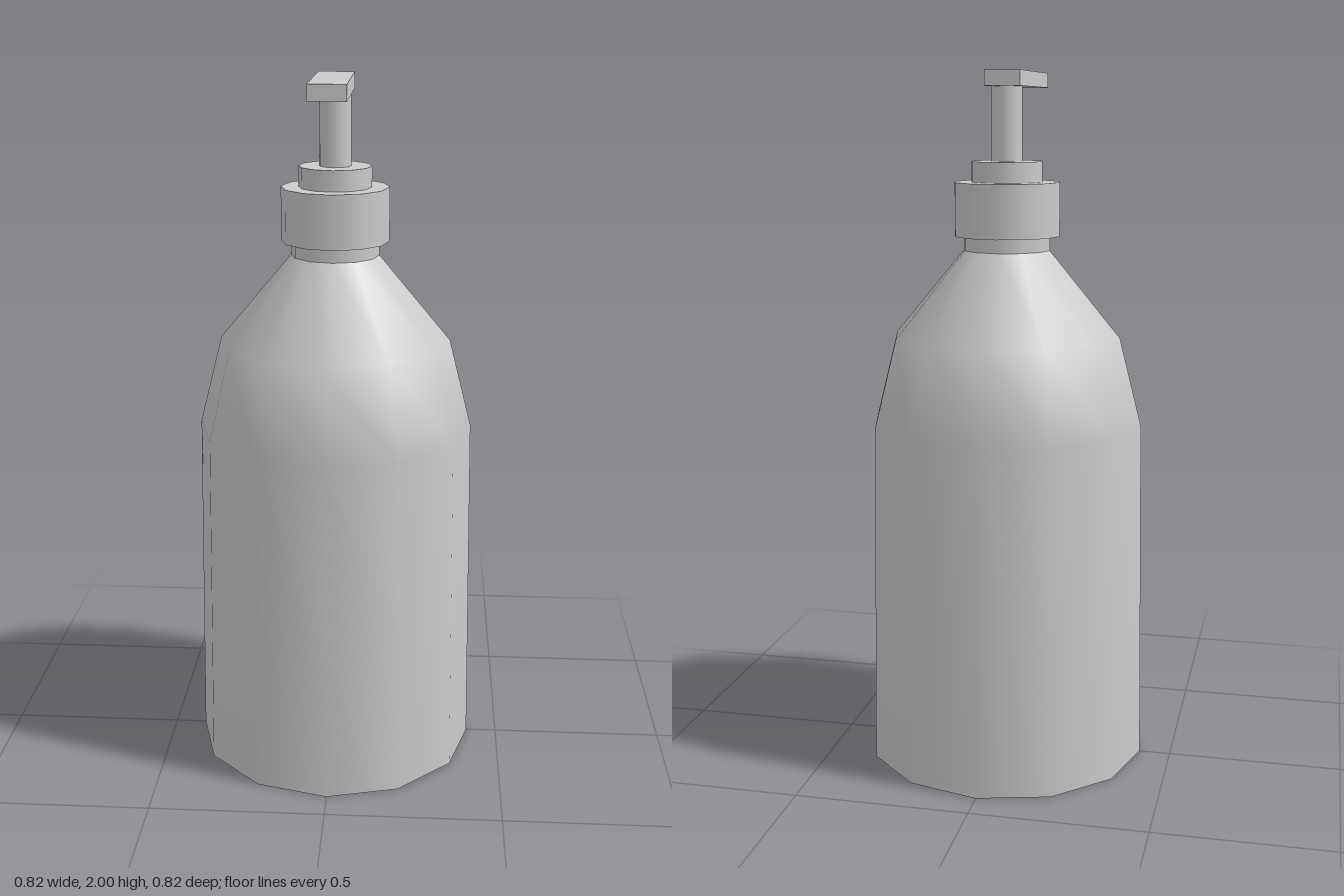
import * as THREE from 'three';

const SIDES = 12;

export function createModel() {
  const model = new THREE.Group();
  model.name = 'pumpBottle';
  const material = new THREE.MeshStandardMaterial({ color: 0xcccccc });

  const add = (name, geometry, y = 0, z = 0) => {
    const mesh = new THREE.Mesh(geometry, material);
    mesh.name = name;
    mesh.position.set(0, y, z);
    model.add(mesh);
    return mesh;
  };

  // Upright cylinder given by its bottom and top heights
  const addCylinder = (name, radius, bottom, top) =>
    add(name, new THREE.CylinderGeometry(radius, radius, top - bottom, SIDES), (bottom + top) / 2);

  // Bottle: tapered wall and sloping shoulder, smooth around and along
  const profile = [[0.41, 0], [0.395, 1.0], [0.33, 1.255], [0.125, 1.5]];
  add('bottleBody', new THREE.LatheGeometry(profile.map(([r, y]) => new THREE.Vector2(r, y)), SIDES));

  // Flat base with its own sharp edge
  add('bottleBase', new THREE.CircleGeometry(0.41, SIDES).rotateX(Math.PI / 2));

  // Neck, screw collar, collar step and pump stem
  addCylinder('neck', 0.125, 1.5, 1.54);
  addCylinder('collar', 0.153, 1.54, 1.692);
  addCylinder('collarStep', 0.103, 1.692, 1.75);
  addCylinder('pumpStem', 0.045, 1.75, 1.957);

  // Spout bar reaching forward
  add('spout', new THREE.BoxGeometry(0.102, 0.043, 0.41), 1.9785, 0.14);

  return model;
}
